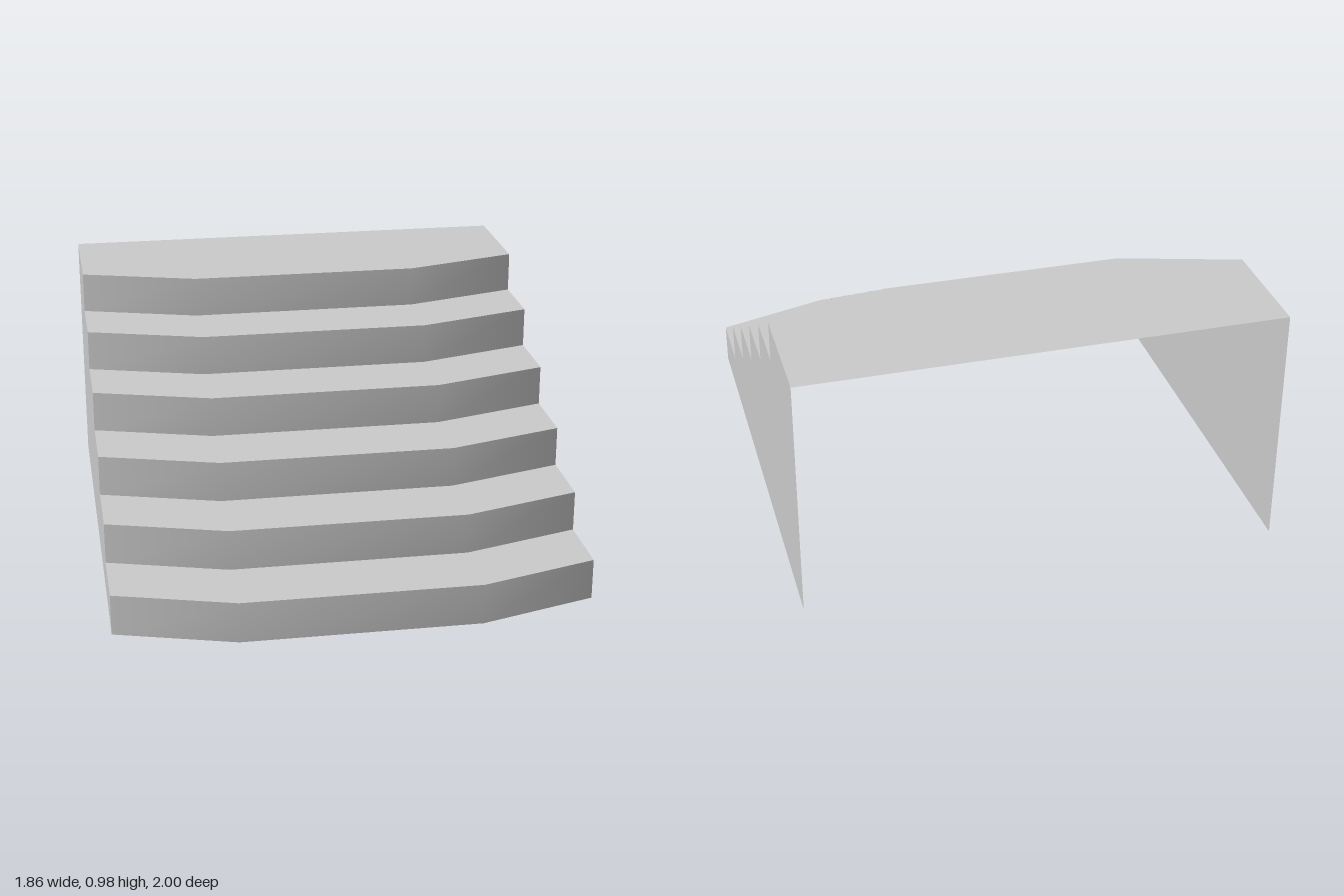
import * as THREE from 'three';

const STEPS = 6, RISE = 0.1625, RUN = 0.28, HALF = 0.93, BACK = -1;
const material = new THREE.MeshStandardMaterial({ color: 0xcccccc, side: THREE.DoubleSide });

// Bowed front edge of a step: straight in the middle, swept back at both ends
const noseLine = (step, y) =>
  [[-HALF, 0.862], [-HALF / 2, 1], [HALF / 2, 1], [HALF, 0.862]]
    .map(([x, z]) => new THREE.Vector3(x, y, z - step * RUN));

// Sheet spanning two lines that run left to right, near/lower line first
function strip(near, far) {
  const n = near.length, index = [];
  for (let i = 0; i < n - 1; i++) index.push(i, i + 1, n + i + 1, i, n + i + 1, n + i);
  const geometry = new THREE.BufferGeometry().setFromPoints([...near, ...far]);
  geometry.setIndex(index);
  geometry.computeVertexNormals();
  return geometry;
}

// Stepped side wall, facing outward on the given side
function sideWall(side) {
  const points = [[BACK, 0]];
  for (let i = 0; i < STEPS; i++) {
    const z = 0.862 - i * RUN;
    points.push([z, i * RISE], [z, (i + 1) * RISE]);
  }
  points.push([BACK, STEPS * RISE]);
  const shape = new THREE.Shape(points.map(([z, y]) => new THREE.Vector2(-side * z, y)));
  return new THREE.ShapeGeometry(shape).rotateY(side * Math.PI / 2).translate(side * HALF, 0, 0);
}

export function createModel() {
  const group = new THREE.Group();
  group.name = 'bowedStaircase';
  const add = (name, geometry) => {
    const mesh = new THREE.Mesh(geometry, material);
    mesh.name = name;
    group.add(mesh);
  };

  // Risers and treads; the top tread runs to the straight back edge
  for (let i = 0; i < STEPS; i++) {
    const top = (i + 1) * RISE;
    const nose = noseLine(i, top);
    const rear = noseLine(i + 1, top);
    if (i === STEPS - 1) rear.forEach(p => { p.z = BACK; });
    add(`riser${i + 1}`, strip(noseLine(i, i * RISE), nose));
    add(`tread${i + 1}`, strip(nose, rear));
  }

  // Side walls; the back and underside stay open
  add('leftWall', sideWall(1));
  add('rightWall', sideWall(-1));
  return group;
}
